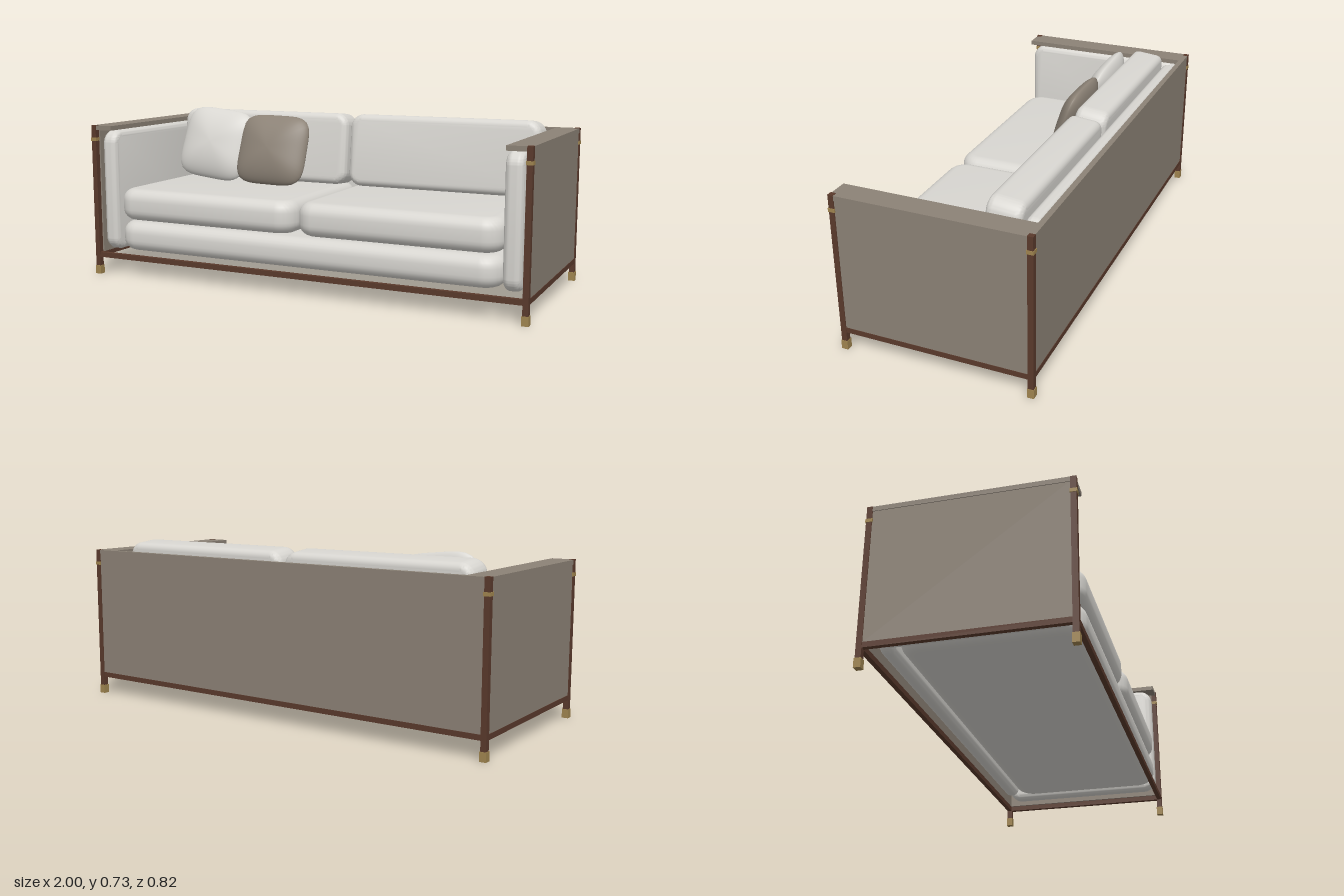
import * as THREE from 'three';
import { toCreasedNormals } from 'three/addons/utils/BufferGeometryUtils.js';

const mat = (name, color) => {
  const m = new THREE.MeshStandardMaterial({ color });
  m.name = name;
  return m;
};

// Rounded slab: outline w x h with corner radius R, thickness t, soft edge radius r
function padGeometry(w, h, t, R, r) {
  const a = w / 2 - r, b = h / 2 - r, c = Math.max(R - r, 0.004);
  const s = new THREE.Shape();
  s.moveTo(-a + c, -b);
  s.absarc(a - c, -b + c, c, -Math.PI / 2, 0);
  s.absarc(a - c, b - c, c, 0, Math.PI / 2);
  s.absarc(-a + c, b - c, c, Math.PI / 2, Math.PI);
  s.absarc(-a + c, -b + c, c, Math.PI, Math.PI * 1.5);
  const g = new THREE.ExtrudeGeometry(s, {
    depth: t - 2 * r, bevelEnabled: true, bevelSize: r, bevelThickness: r,
    bevelSegments: 6, curveSegments: 8,
  });
  g.translate(0, 0, r - t / 2);
  return toCreasedNormals(g, 0.6);
}

// Throw pillow: squarish outline, swollen middle, pinched rim
function pillowGeometry(w, h, t) {
  const g = new THREE.SphereGeometry(1, 48, 32);
  g.rotateX(Math.PI / 2);
  const p = g.attributes.position;
  for (let i = 0; i < p.count; i++) {
    const x = p.getX(i), y = p.getY(i), z = p.getZ(i);
    const rho = Math.hypot(x, y);
    const n = 4.5;
    const k = rho < 1e-6 ? 0 : rho / Math.pow(Math.abs(x) ** n + Math.abs(y) ** n, 1 / n);
    const swell = Math.sign(z) * Math.pow(Math.abs(z), 1.25);
    p.setXYZ(i, x * k * w / 2, y * k * h / 2, swell * t / 2);
  }
  g.computeVertexNormals();
  return g;
}

export function createModel() {
  const sofa = new THREE.Group();
  sofa.name = 'sofa';
  const fabric = mat('pale fabric', 0xd8d6d1);
  const taupe = mat('taupe leather', 0x8c8276);
  const wood = mat('dark wood', 0x5a3a2c);
  const brass = mat('brass', 0xa08550);

  const add = (name, geometry, material, x, y, z) => {
    const m = new THREE.Mesh(geometry, material);
    m.name = name;
    m.position.set(x, y, z);
    sofa.add(m);
    return m;
  };
  // Box given by its limits
  const box = (name, material, x0, x1, y0, y1, z0, z1) => add(name,
    new THREE.BoxGeometry(x1 - x0, y1 - y0, z1 - z0), material,
    (x0 + x1) / 2, (y0 + y1) / 2, (z0 + z1) / 2);

  // Corner posts with brass feet and bands
  for (const sx of [-1, 1]) for (const sz of [-1, 1]) {
    const x = sx * 0.986, z = sz * 0.394;
    add('post', new THREE.BoxGeometry(0.023, 0.637, 0.023), wood, x, 0.3565, z);
    add('foot', new THREE.BoxGeometry(0.028, 0.038, 0.028), brass, x, 0.019, z);
    add('postBand', new THREE.BoxGeometry(0.028, 0.015, 0.028), brass, x, 0.613, z);
  }

  // Bottom rails
  for (const s of [-1, 1]) {
    add('longRail', new THREE.BoxGeometry(1.95, 0.022, 0.02), wood, 0, 0.089, s * 0.394);
    add('sideRail', new THREE.BoxGeometry(0.02, 0.022, 0.766), wood, s * 0.986, 0.089, 0);
  }

  // Outer panels and top caps
  box('backPanel', taupe, -0.974, 0.974, 0.1, 0.658, -0.402, -0.385);
  box('backCap', taupe, -0.974, 0.974, 0.658, 0.674, -0.404, -0.381);
  for (const s of [-1, 1]) {
    add('sidePanel', new THREE.BoxGeometry(0.026, 0.558, 0.766), taupe, s * 0.981, 0.379, 0);
    add('armCapOuter', new THREE.BoxGeometry(0.03, 0.02, 0.766), taupe, s * 0.982, 0.664, 0);
    add('armCap', new THREE.BoxGeometry(0.079, 0.02, 0.804), taupe, s * 0.9345, 0.664, 0);
  }

  // Inner arm pads and back pad
  for (const s of [-1, 1]) {
    const pad = add('armPad', padGeometry(0.76, 0.54, 0.072, 0.06, 0.026), fabric, s * 0.922, 0.381, 0.008);
    pad.rotation.y = Math.PI / 2;
  }
  add('backPad', padGeometry(1.77, 0.545, 0.06, 0.05, 0.024), fabric, 0, 0.39, -0.346);

  // Base cushion and seat cushions lie flat
  const base = add('baseCushion', padGeometry(1.77, 0.705, 0.13, 0.09, 0.05), fabric, 0, 0.181, 0.043);
  base.rotation.x = -Math.PI / 2;
  for (const s of [-1, 1]) {
    const seat = add('seatCushion', padGeometry(0.882, 0.71, 0.14, 0.09, 0.05), fabric, s * 0.444, 0.323, 0.041);
    seat.rotation.x = -Math.PI / 2;
    // Back cushions lean slightly backwards
    const back = add('backCushion', padGeometry(0.874, 0.325, 0.145, 0.06, 0.03), fabric, s * 0.444, 0.551, -0.225);
    back.rotation.x = -0.1;
  }

  // Throw pillows
  const pale = add('palePillow', pillowGeometry(0.36, 0.335, 0.13), fabric, -0.645, 0.564, -0.075);
  pale.rotation.set(-0.3, 0, -0.11);
  const dark = add('taupePillow', pillowGeometry(0.35, 0.325, 0.12), taupe, -0.332, 0.55, -0.055);
  dark.rotation.set(-0.32, 0, -0.02);

  return sofa;
}
